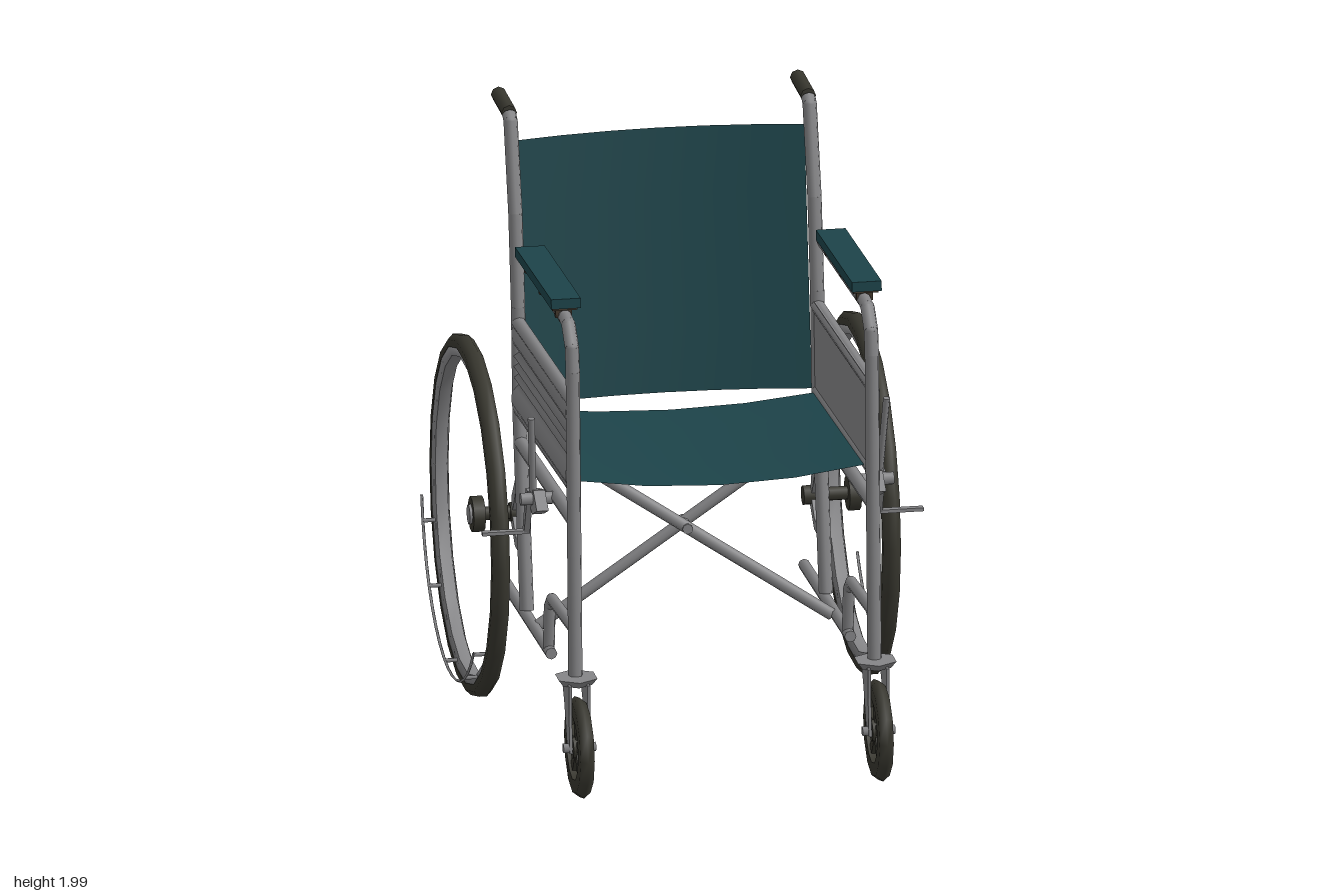
import * as THREE from 'three';
import { mergeGeometries } from 'three/addons/utils/BufferGeometryUtils.js';

const V = (x, y, z) => new THREE.Vector3(x, y, z);
const X = 0.505; // half distance between the two side frames

export function createModel() {
  const model = new THREE.Group();
  model.name = 'wheelchair';
  const mat = (name, color, side = THREE.FrontSide) => {
    const m = new THREE.MeshStandardMaterial({ color, side });
    m.name = name;
    return m;
  };
  const steel = mat('steel', 0x858587, THREE.DoubleSide);
  const cloth = mat('teal cloth', 0x1d444a, THREE.DoubleSide);
  const rubber = mat('rubber', 0x38372f);
  const brown = mat('brown bracket', 0x41362b);

  let parent = model;
  const add = (name, geo, material) => {
    const mesh = new THREE.Mesh(geo, material);
    mesh.name = name;
    parent.add(mesh);
    return mesh;
  };

  // Straight tubes through a list of points, with ball joints at the bends
  const tube = (name, pts, r = 0.024, material = steel, sides = 8) => {
    const parts = [];
    for (let i = 1; i < pts.length; i++) {
      const a = pts[i - 1], b = pts[i], d = b.clone().sub(a);
      const g = new THREE.CylinderGeometry(r, r, d.length(), sides);
      g.applyQuaternion(new THREE.Quaternion().setFromUnitVectors(V(0, 1, 0), d.normalize()));
      g.translate(...a.clone().add(b).multiplyScalar(0.5).toArray());
      parts.push(g);
      if (i > 1) parts.push(new THREE.SphereGeometry(r, sides, 6).translate(a.x, a.y, a.z));
    }
    return add(name, mergeGeometries(parts), material);
  };
  // Tube in a side plane, given as [z, y] pairs
  const sideTube = (name, x, zy, r, material) =>
    tube(name, zy.map(([z, y]) => V(x, y, z)), r, material);

  // Flat plate in a side plane, given as [z, y] pairs
  const plate = (name, x, zy, thick) => {
    const shape = new THREE.Shape(zy.map(([z, y]) => new THREE.Vector2(z, y)));
    const g = new THREE.ExtrudeGeometry(shape, { depth: thick, bevelEnabled: false });
    g.rotateY(-Math.PI / 2).translate(x + thick / 2, 0, 0);
    return add(name, g, steel);
  };

  // Ring turned around the x axis from a closed [radius, x] profile
  const ring = (name, profile, sides, [x, y, z], material) => {
    const pts = [...profile, profile[0]].map(([r, h]) => new THREE.Vector2(r, h));
    const g = new THREE.LatheGeometry(pts, sides).rotateZ(-Math.PI / 2).translate(x, y, z);
    return add(name, g, material);
  };
  const disc = (name, r, width, sides, [x, y, z], material) =>
    add(name, new THREE.CylinderGeometry(r, r, width, sides).rotateZ(Math.PI / 2).translate(x, y, z), material);

  // Surface from a rule over u, v in 0..1
  const sheet = (name, nu, nv, rule, material) => {
    const g = new THREE.PlaneGeometry(1, 1, nu, nv), p = g.attributes.position;
    for (let i = 0; i < p.count; i++) p.setXYZ(i, ...rule(p.getX(i) + 0.5, p.getY(i) + 0.5));
    g.computeVertexNormals();
    return add(name, g, material);
  };
  const lerp = THREE.MathUtils.lerp;
  const bow = (u) => 1 - (2 * u - 1) ** 2;

  // Cloth seat and backrest, both sagging between the frames
  sheet('seat', 4, 4, (u, v) => [
    lerp(-0.5, 0.5, u), lerp(1.01, 1.07, v) - lerp(0.033, 0.045, v) * bow(u), lerp(-0.28, 0.665, v),
  ], cloth);
  sheet('backrest', 6, 4, (u, v) => [
    lerp(-0.49, 0.49, u), lerp(1.0, 1.88, v), lerp(-0.35, -0.49, v) - lerp(0.045, 0.05, v) * bow(u),
  ], cloth);

  // Folding cross under the seat
  tube('crossBarFront', [V(-0.49, 1.0, 0.02), V(0.49, 0.33, 0.02)], 0.021);
  tube('crossBarRear', [V(0.49, 1.0, -0.04), V(-0.49, 0.33, -0.04)], 0.021);
  tube('crossPivot', [V(0, 0.665, -0.065), V(0, 0.665, 0.045)], 0.018);

  for (const s of [1, -1]) {
    const side = new THREE.Group();
    side.name = s > 0 ? 'leftSide' : 'rightSide';
    model.add(side);
    parent = side;
    const x = s * X;

    // Frame tubes
    sideTube('frontLegAndArmTube', x, [[0.74, 0.4], [0.69, 1.46], [0.675, 1.54], [0.61, 1.6], [0.55, 1.605], [-0.22, 1.56]]);
    sideTube('rearPost', x, [[-0.5, 1.97], [-0.475, 1.955], [-0.385, 1.66], [-0.335, 1.35], [-0.31, 1.0], [-0.17, 0.34]]);
    sideTube('panelTopRail', x, [[0.69, 1.355], [-0.33, 1.295]]);
    sideTube('panelBottomRail', x, [[0.7, 1.065], [-0.31, 1.005]]);
    sideTube('seatRail', x, [[0.71, 0.945], [-0.29, 0.89]]);
    sideTube('stepTube', x, [[0.73, 0.57], [0.3, 0.535], [0.26, 0.5], [0.24, 0.34]], 0.02);
    sideTube('lowerRail', x, [[0.29, 0.34], [-0.58, 0.305]], 0.02);

    // Push handle
    sideTube('handleGrip', x, [[-0.5, 1.975], [-0.7, 1.975]], 0.026, rubber);

    // Side panel: broad rounded bands above and below narrow ribs, flat inside
    const ribs = [0, 0.018, 0.025, 0.026, 0.024, 0.016, 0, 0.02, 0, 0.02, 0, 0.02, 0, 0.016, 0.024, 0.026, 0.025, 0.018, 0];
    sheet('ribbedPanel', 1, ribs.length - 1, (u, v) => [
      x + s * ribs[Math.round(v * (ribs.length - 1))],
      lerp(lerp(0.985, 1.045, u), lerp(1.315, 1.375, u), v), lerp(-0.315, 0.7, u),
    ], steel);
    plate('innerPanel', x - s * 0.012, [[0.7, 1.05], [0.69, 1.375], [-0.33, 1.315], [-0.31, 0.99]], 0.006);

    // Padded armrest on three brackets
    const box = (name, w, h, d, y, z, m) => {
      const b = add(name, new THREE.BoxGeometry(w, h, d), m);
      b.position.set(x + s * 0.003, y, z);
      b.rotation.x = -0.058;
    };
    box('armPad', 0.1, 0.034, 0.68, 1.643, 0.242, cloth);
    box('armPadBase', 0.085, 0.012, 0.64, 1.621, 0.242, brown);
    for (const z of [0.53, 0.23, -0.05]) box('armBracket', 0.055, 0.05, 0.02, 1.594 + z * 0.06, z, brown);

    // Large rear wheel
    const hub = [s * 0.66, 0.614, -0.38];
    ring('rearTyre', [[0.566, -0.03], [0.59, -0.03], [0.608, -0.012], [0.608, 0.012], [0.59, 0.03], [0.566, 0.03]], 22, hub, rubber);
    ring('rearRim', [[0.536, -0.02], [0.568, -0.029], [0.568, 0.029], [0.536, 0.02]], 22, hub, steel);
    disc('rearAxle', 0.024, 0.19, 8, [s * 0.56, 0.615, -0.385], rubber);
    disc('rearHub', 0.06, 0.04, 10, [s * 0.635, 0.615, -0.385], rubber);
    disc('hubCap', 0.035, 0.012, 8, [s * 0.658, 0.615, -0.385], steel);
    disc('innerHub', 0.034, 0.06, 8, [s * 0.495, 0.615, -0.385], rubber);

    // Thin partial hand rim, a longer arc with stubs on the right wheel
    const [from, sweep] = s > 0 ? [0.22, 0.3] : [0.06, 0.73];
    const rim = new THREE.TorusGeometry(0.55, 0.005, 4, 16, sweep * Math.PI);
    rim.rotateZ((1 + from) * Math.PI).rotateY(-Math.PI / 2).translate(s * 0.725, hub[1], hub[2]);
    add('handRim', rim, steel);
    if (s < 0) {
      for (const a of [0.11, 0.24, 0.44, 0.67, 0.785]) {
        const y = hub[1] - 0.55 * Math.sin(a * Math.PI), z = hub[2] - 0.55 * Math.cos(a * Math.PI);
        tube('handRimStub', [V(-0.68, y, z), V(-0.725, y, z)], 0.007, steel, 6);
      }
    }

    // Axle bracket on the rear post
    plate('axleArmUpper', x, [[-0.25, 0.78], [-0.3, 0.765], [-0.37, 0.68], [-0.375, 0.61], [-0.34, 0.65], [-0.3, 0.71], [-0.25, 0.735]], 0.03);
    plate('axleArmLower', x, [[-0.2, 0.555], [-0.22, 0.52], [-0.31, 0.52], [-0.385, 0.58], [-0.36, 0.615], [-0.3, 0.555]], 0.03);

    // Brake lever, linkage and wheel stop
    plate('brakePlate', s * 0.57, [[0.49, 0.91], [0.42, 0.96], [0.38, 0.95], [0.31, 0.93], [0.34, 0.89], [0.4, 0.87]], 0.04);
    tube('brakeLever', [V(s * 0.6, 1.22, 0.44), V(s * 0.585, 0.93, 0.39)], 0.012, steel, 6);
    tube('brakeClamp', [V(s * 0.5, 0.925, 0.4), V(s * 0.63, 0.925, 0.4)], 0.022);
    plate('brakeArm', s * 0.595, [[0.4, 0.95], [0.36, 0.95], [0.305, 0.79], [0.33, 0.78]], 0.02);
    add('wheelStop', new THREE.BoxGeometry(0.15, 0.012, 0.024).translate(s * 0.67, 0.785, 0.32), steel);

    // Caster fork
    add('casterCrown', new THREE.CylinderGeometry(0.075, 0.055, 0.024, 6).translate(x, 0.402, 0.755), steel);
    for (const o of [-0.031, 0.031]) {
      plate('casterFork', x + o, [[0.82, 0.4], [0.68, 0.4], [0.73, 0.32], [0.79, 0.17], [0.835, 0.17], [0.82, 0.3]], 0.01);
    }

    // Caster wheel with five spokes
    const c = [x, 0.185, 0.815];
    ring('casterTyre', [[0.11, -0.024], [0.155, -0.024], [0.174, 0], [0.155, 0.024], [0.11, 0.024]], 12, c, rubber);
    disc('casterHub', 0.038, 0.05, 8, c, rubber);
    disc('casterBolt', 0.016, 0.11, 6, c, steel);
    for (let i = 0; i < 5; i++) {
      const a = i * Math.PI * 0.4;
      const spoke = new THREE.BoxGeometry(0.03, 0.1, 0.034).translate(0, 0.074, 0).rotateX(a).translate(...c);
      add('casterSpoke', spoke, rubber);
    }
  }
  return model;
}
